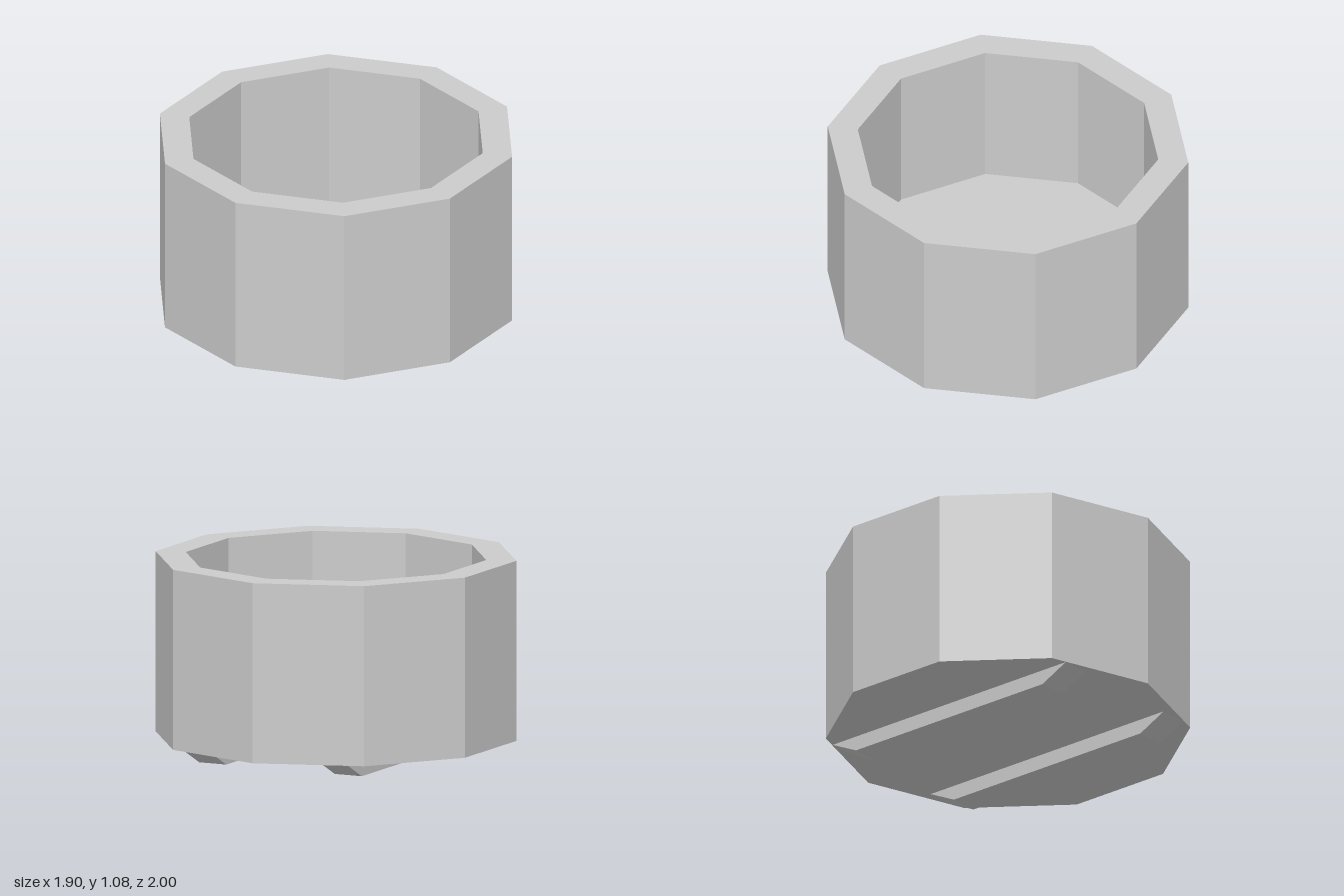
import * as THREE from 'three';

const material = new THREE.MeshStandardMaterial({ color: 0xcccccc, flatShading: true });

function addPart(group, name, geometry) {
  const mesh = new THREE.Mesh(geometry, material);
  mesh.name = name;
  group.add(mesh);
  return mesh;
}

export function createModel() {
  const group = new THREE.Group();
  group.name = 'tub';

  const base = 1 / 12, top = base + 1, wall = 1 / 6;

  // Ten-sided open tub: underside, outer wall, rim, inner wall, floor
  const profile = [
    [0, base], [1, base], [1, top],
    [1 - wall, top], [1 - wall, base + wall], [0, base + wall],
  ].map(([r, y]) => new THREE.Vector2(r, y));
  addPart(group, 'tubBody', new THREE.LatheGeometry(profile, 10));

  // Two runners under the tub, with ends sloping up to the underside
  const side = new THREE.Shape([
    new THREE.Vector2(-2 / 3, 0), new THREE.Vector2(2 / 3, 0),
    new THREE.Vector2(5 / 6, base), new THREE.Vector2(-5 / 6, base),
  ]);
  const runner = new THREE.ExtrudeGeometry(side, { depth: wall, bevelEnabled: false });
  runner.translate(0, 0, -wall / 2).rotateY(Math.PI / 2);
  for (const s of [-1, 1]) {
    addPart(group, s > 0 ? 'leftRunner' : 'rightRunner', runner).position.x = s * 5 / 12;
  }

  return group;
}
